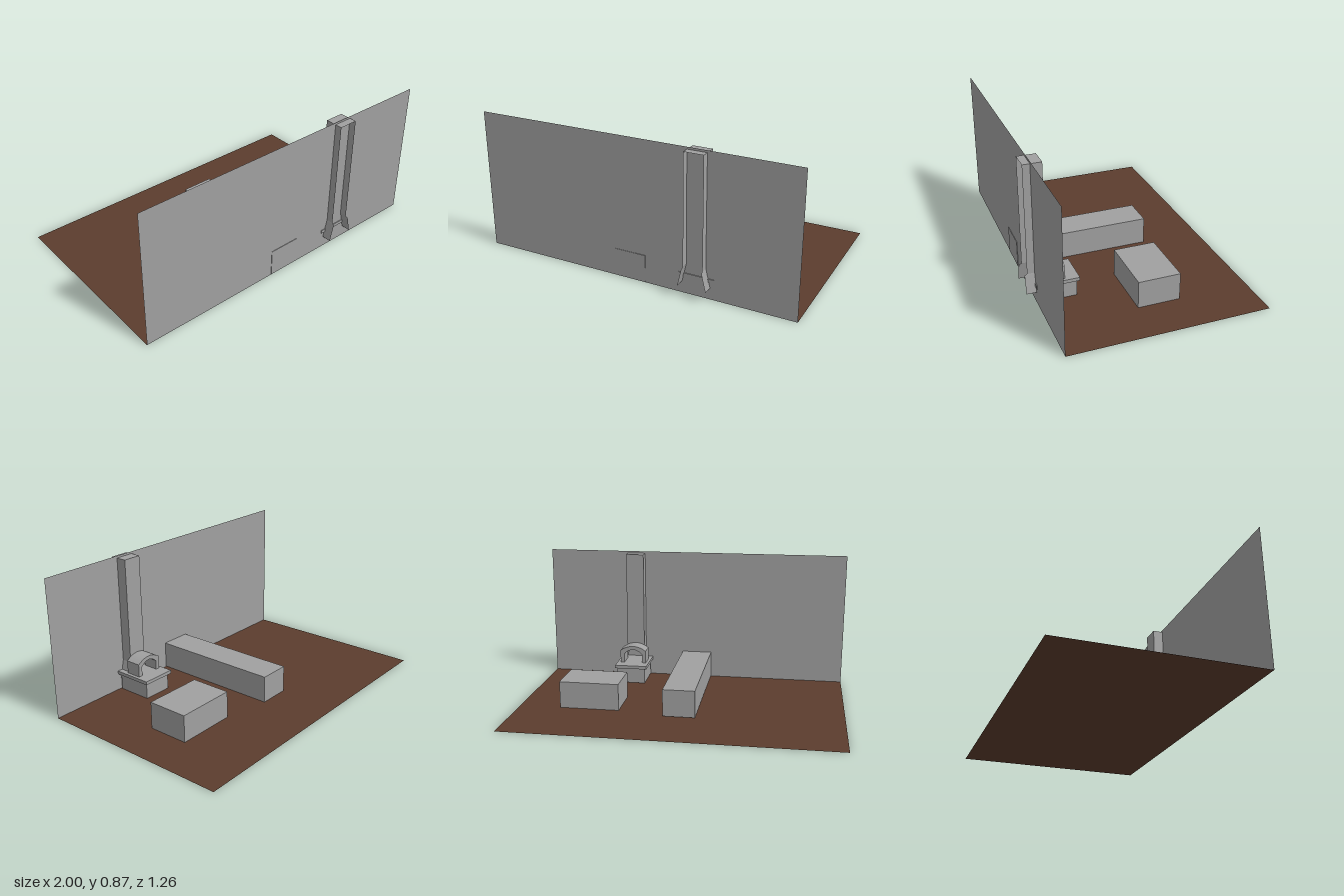
import * as THREE from 'three';

export function createModel() {
  const model = new THREE.Group();
  model.name = 'room';
  const plaster = new THREE.MeshStandardMaterial({ color: 0xa0a0a0, side: THREE.DoubleSide });
  plaster.name = 'grey plaster';
  const wood = new THREE.MeshStandardMaterial({ color: 0x5c3d2e, side: THREE.DoubleSide });
  wood.name = 'brown floor';

  const add = (name, geometry, material = plaster) => {
    const mesh = new THREE.Mesh(geometry, material);
    mesh.name = name;
    model.add(mesh);
    return mesh;
  };
  // Box given by its limits on each axis
  const box = (name, x0, x1, y0, y1, z0, z1) =>
    add(name, new THREE.BoxGeometry(x1 - x0, y1 - y0, z1 - z0)
      .translate((x0 + x1) / 2, (y0 + y1) / 2, (z0 + z1) / 2));

  // Thin floor and wall
  add('floor', new THREE.PlaneGeometry(2, 1.2).rotateX(-Math.PI / 2).translate(0, 0, -0.03), wood);
  add('wall', new THREE.PlaneGeometry(2, 0.865).translate(0, 0.4325, 0.57));

  // Furniture blocks
  box('counter', -0.11, 0.087, 0.004, 0.172, -0.257, 0.573);
  box('table', 0.37, 0.74, 0.002, 0.169, -0.198, 0.057);

  // Fireplace base and hearth slab
  const cx = 0.406;
  box('fireplaceBase', 0.315, 0.5, 0.004, 0.105, 0.335, 0.556);
  box('hearthSlab', 0.3, 0.514, 0.105, 0.126, 0.32, 0.575);

  // Arched surround with a shallow curved top
  const archPath = (w, y0, spring, rise) => {
    const pts = [new THREE.Vector2(-w, y0)];
    for (let i = 0; i <= 12; i++) {
      const t = -1 + i / 6;
      pts.push(new THREE.Vector2(w * t, spring + rise * (1 - t * t)));
    }
    pts.push(new THREE.Vector2(w, y0));
    return pts;
  };
  const outline = [...archPath(0.087, 0.126, 0.208, 0.031),
    ...archPath(0.06, 0.126, 0.185, 0.03).reverse()];
  add('fireplaceArch', new THREE.ExtrudeGeometry(new THREE.Shape(outline),
    { depth: 0.1, bevelEnabled: false }).translate(cx, 0, 0.403));

  // Open-backed chimney: room face, two sides and a flat cap
  const h = 0.059, top = 0.852, foot = 0.185, z0 = 0.503, z1 = 0.614;
  add('chimneyFace', new THREE.PlaneGeometry(h * 2, top - foot)
    .rotateY(Math.PI).translate(cx, (top + foot) / 2, z0));
  add('chimneyCap', new THREE.PlaneGeometry(h * 2, z1 - z0)
    .rotateX(-Math.PI / 2).translate(cx, top, (z0 + z1) / 2));

  // Sides run down into flared firebox cheeks: [y, half width, outer z]
  const levels = [[top, h, z1], [foot, h, z1], [0.178, 0.061, 0.629], [0.07, 0.086, 0.629]];
  for (const side of [-1, 1]) {
    for (let i = 0; i < 3; i++) {
      const [ya, wa, za] = levels[i], [yb, wb, zb] = levels[i + 1];
      const a = [cx + side * wa, ya, z0], b = [cx + side * wa, ya, za];
      const c = [cx + side * wb, yb, zb], d = [cx + side * wb, yb, z0];
      const corners = side > 0 ? [a, b, c, a, c, d] : [a, c, b, a, d, c];
      const geometry = new THREE.BufferGeometry();
      geometry.setAttribute('position', new THREE.Float32BufferAttribute(corners.flat(), 3));
      geometry.computeVertexNormals();
      add(i === 0 ? 'chimneySide' : 'fireboxCheek', geometry);
    }
  }
  return model;
}
